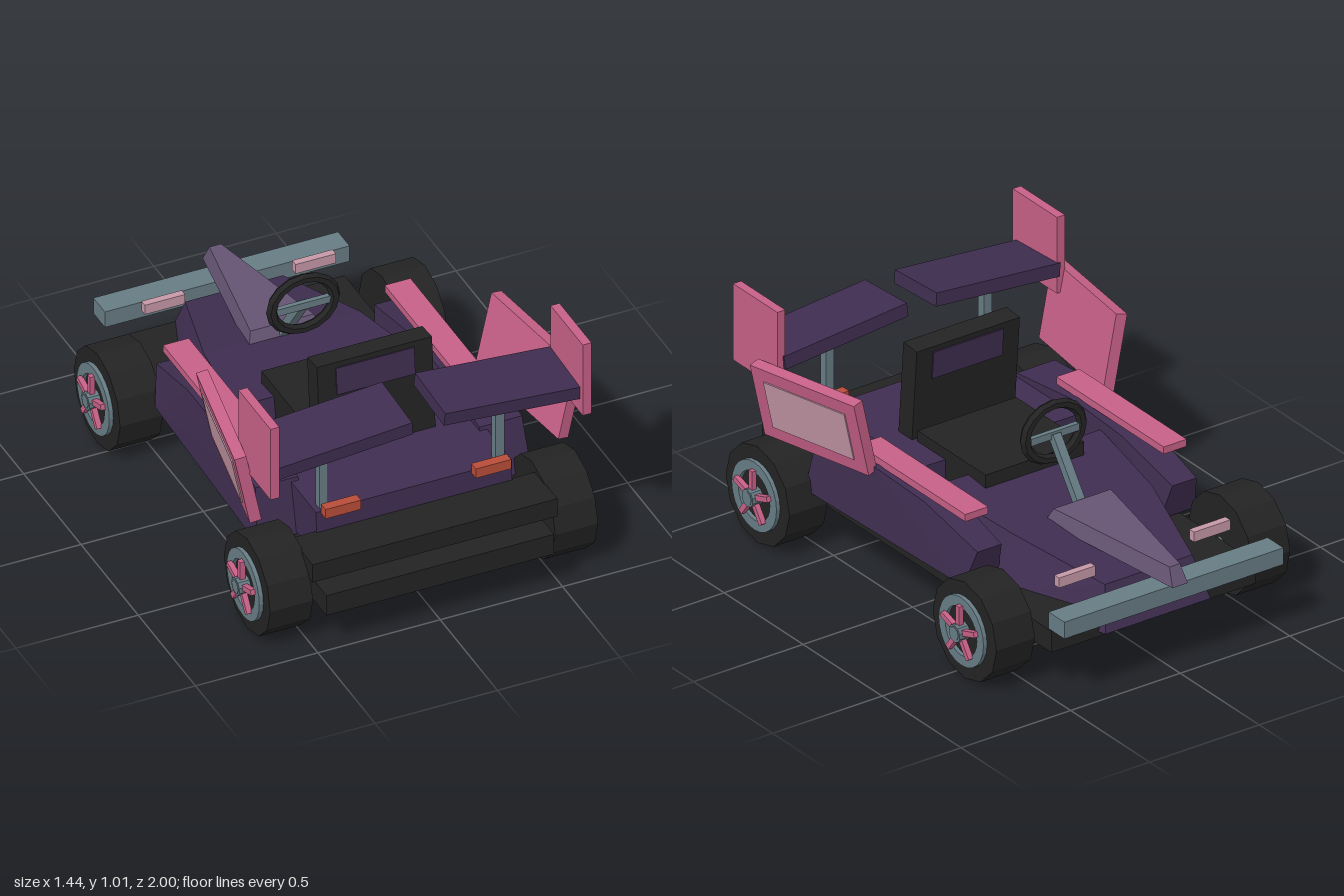
import * as THREE from 'three';
import { ConvexGeometry } from 'three/addons/geometries/ConvexGeometry.js';

const mat = (name, color) => {
  const m = new THREE.MeshStandardMaterial({ color });
  m.name = name;
  m.flatShading = true;
  return m;
};

export function createModel() {
  const kart = new THREE.Group();
  kart.name = 'kart';
  const purple = mat('purple body', 0x3f2d50);
  const lilac = mat('lilac nose', 0x655473);
  const pink = mat('pink trim', 0xc66086);
  const pale = mat('pale pink panel', 0xc598a8);
  const grey = mat('grey metal', 0x677c84);
  const black = mat('black rubber', 0x232323);
  const orange = mat('orange light', 0xb84d3a);

  const add = (name, geo, material, pos = [0, 0, 0], rot = [0, 0, 0], parent = kart) => {
    const m = new THREE.Mesh(geo, material);
    m.name = name;
    m.position.set(...pos);
    m.rotation.set(...rot);
    parent.add(m);
    return m;
  };
  const box = (name, size, material, pos, rot, parent) =>
    add(name, new THREE.BoxGeometry(...size), material, pos, rot, parent);
  const hull = (name, pts, material) =>
    add(name, new ConvexGeometry(pts.map((p) => new THREE.Vector3(...p))), material);
  // points given for one side, repeated on the other
  const both = (pts) => pts.flatMap(([x, y, z]) => [[x, y, z], [-x, y, z]]);

  // floor and rear bumper
  box('floor', [0.93, 0.09, 1.83], black, [0, 0.205, 0.085]);
  box('rearBumper', [1.0, 0.08, 0.19], black, [0, 0.332, 0.86]);

  // body
  hull('hood', both([
    [0.24, 0.18, -0.86], [0.2, 0.35, -0.8], [0.42, 0.2, -0.38],
    [0.32, 0.42, -0.38], [0.46, 0.2, 0.07], [0.38, 0.46, 0.03],
  ]), purple);
  hull('rearDeck', both([
    [0.4, 0.25, 0.175], [0.4, 0.46, 0.175], [0.4, 0.46, 0.77], [0.4, 0.27, 0.78],
  ]), purple);
  hull('noseCone', both([
    [0.15, 0.405, -0.35], [0.13, 0.465, -0.38], [0.035, 0.37, -1], [0.024, 0.44, -0.965],
  ]), lilac);
  box('frontBar', [1.0, 0.07, 0.1], grey, [0, 0.32, -0.91]);

  // seat
  box('seatCushion', [0.45, 0.26, 0.43], black, [0, 0.375, 0.135]);
  const back = new THREE.Group();
  back.name = 'seatBack';
  back.position.set(0, 0.64, 0.4);
  back.rotation.x = -0.08;
  kart.add(back);
  box('backrest', [0.47, 0.41, 0.085], black, [0, 0, 0], [0, 0, 0], back);
  for (const s of [-1, 1])
    box('headPad', [0.32, 0.115, 0.008], purple, [0, 0.125, s * 0.044], [0, 0, 0], back);

  // steering
  const colA = new THREE.Vector3(0, 0.42, -0.38), colB = new THREE.Vector3(0, 0.66, -0.205);
  box('steeringColumn', [0.036, colA.distanceTo(colB), 0.036], grey,
    colA.clone().lerp(colB, 0.5).toArray(), [Math.atan2(colB.z - colA.z, colB.y - colA.y), 0, 0]);
  const rim = add('steeringWheel', new THREE.TorusGeometry(0.125, 0.022, 6, 16), black, [0, 0.67, -0.197]);
  rim.scale.set(1.03, 0.9, 0.9);
  box('steeringCrossbar', [0.22, 0.03, 0.02], grey, [0, 0.66, -0.2]);

  // wheel: tyre, rim ring, spokes and hub, facing outwards along x
  const ringShape = new THREE.Shape().absarc(0, 0, 0.142, 0, Math.PI * 2);
  ringShape.holes.push(new THREE.Path().absarc(0, 0, 0.1, 0, Math.PI * 2, true));
  const ringGeo = new THREE.ExtrudeGeometry(ringShape, { depth: 0.017, bevelEnabled: false, curveSegments: 12 });
  const tyreGeo = new THREE.CylinderGeometry(0.202, 0.202, 0.175, 12);
  const wheel = (s, z) => {
    const g = new THREE.Group();
    g.name = 'wheel';
    g.position.set(s * 0.5825, 0.204, z);
    g.rotation.y = s * Math.PI / 2;
    kart.add(g);
    add('tyre', tyreGeo, black, [0, 0, 0], [Math.PI / 2, 0, 0], g);
    add('rimRing', ringGeo, grey, [0, 0, 0.087], [0, 0, 0], g);
    for (let i = 0; i < 5; i++) {
      const a = i * Math.PI * 0.4;
      box('spoke', [0.022, 0.085, 0.022], pink,
        [-Math.sin(a) * 0.068, Math.cos(a) * 0.068, 0.111], [0, 0, a], g);
    }
    add('hub', new THREE.CylinderGeometry(0.036, 0.036, 0.05, 10), grey, [0, 0, 0.11], [Math.PI / 2, 0, 0], g);
  };
  for (const z of [-0.565, 0.745]) {
    add('axle', new THREE.CylinderGeometry(0.028, 0.028, 1.44, 8), grey, [0, 0.205, z], [0, 0, Math.PI / 2]);
    for (const s of [-1, 1]) wheel(s, z);
  }

  // parts on each side
  for (const s of [-1, 1]) {
    hull('sidePod', [
      // z, top height, inner x, outer x
      [-0.41, 0.41, 0.39, 0.5], [-0.1, 0.49, 0.38, 0.515], [0.2, 0.513, 0.375, 0.53], [0.55, 0.475, 0.37, 0.545],
    ].flatMap(([z, y, a, b]) => [[s * a, y, z], [s * b, y, z]]).concat(
      [[s * 0.37, 0.255, -0.36], [s * 0.53, 0.255, -0.36], [s * 0.37, 0.255, 0.6], [s * 0.56, 0.255, 0.6]],
    ), purple);
    box('sideRail', [0.105, 0.03, 0.68], pink, [s * 0.453, 0.525, 0.0]);

    // leaning side panel with its pale inset
    const panel = box('sidePanel', [0.046, 0.315, 0.54], pink, [s * 0.615, 0.632, 0.468], [0.05, s * 0.17, -s * 0.21]);
    box('panelInset', [0.006, 0.205, 0.42], pale, [s * 0.025, 0, 0], [0, 0, 0], panel);

    // rear wing half, strut and end plate
    box('rearWing', [0.565, 0.055, 0.265], purple, [s * 0.347, 0.808, 0.765], [0.06, 0, -s * 0.085]);
    box('wingStrut', [0.036, 0.34, 0.036], grey, [s * 0.36, 0.62, 0.735]);
    box('wingEndPlate', [0.036, 0.32, 0.28], pink, [s * 0.638, 0.85, 0.78]);

    // lights
    box('tailLight', [0.145, 0.042, 0.04], orange, [s * 0.307, 0.472, 0.79]);
    box('frontLight', [0.165, 0.042, 0.03], pale, [s * 0.308, 0.405, -0.76]);
  }
  return kart;
}
